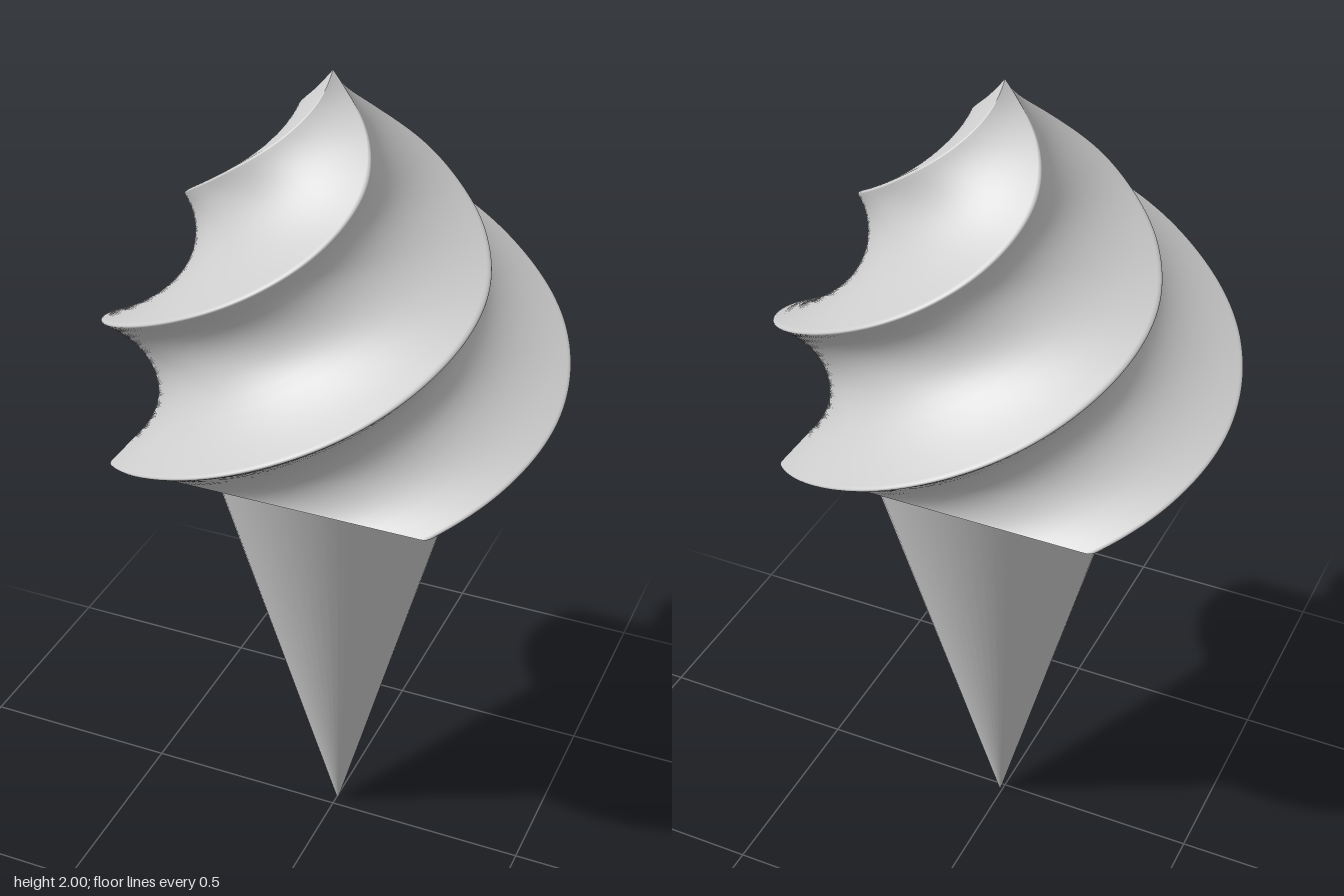
import * as THREE from 'three';

const BASE_Y = 1.17, TOP_Y = 2, TWIST = THREE.MathUtils.degToRad(225);

// Unit square outline with softly rounded corners (corner distance = 1), counterclockwise
function squareOutline(edgeSteps = 14, arcSteps = 6, round = 0.06) {
  const points = [], inner = 1 - round;
  const reach = inner * Math.SQRT2 + round;
  for (let side = 0; side < 4; side++) {
    const turn = side * Math.PI / 2, pivot = new THREE.Vector2();
    // flat side
    for (let i = 0; i < edgeSteps; i++) {
      const p = new THREE.Vector2(1, -inner + 2 * inner * i / edgeSteps);
      points.push(p.rotateAround(pivot, turn).divideScalar(reach));
    }
    // rounded corner
    for (let i = 0; i < arcSteps; i++) {
      const a = Math.PI / 2 * i / arcSteps;
      const p = new THREE.Vector2(inner + round * Math.cos(a), inner + round * Math.sin(a));
      points.push(p.rotateAround(pivot, turn).divideScalar(reach));
    }
  }
  return points;
}

// Square outline swept upward while twisting and following a corner-radius profile
function twistGeometry(outline, profile, layers) {
  const n = outline.length, positions = [], index = [];
  for (let j = 0; j <= layers; j++) {
    const { x: radius, y } = profile.getPoint(j / layers);
    const turn = TWIST * (y - BASE_Y) / (TOP_Y - BASE_Y);
    const c = Math.cos(turn) * radius, s = Math.sin(turn) * radius;
    for (const p of outline) positions.push(p.x * c - p.y * s, y, -(p.x * s + p.y * c));
  }
  for (let j = 0; j < layers; j++) {
    for (let i = 0; i < n; i++) {
      const a = j * n + i, b = j * n + (i + 1) % n;
      index.push(a, b, b + n);
      if (j < layers - 1) index.push(a, b + n, a + n);
    }
  }
  const geometry = new THREE.BufferGeometry();
  geometry.setAttribute('position', new THREE.Float32BufferAttribute(positions, 3));
  geometry.setIndex(index);
  geometry.computeVertexNormals();
  return geometry;
}

export function createModel() {
  const group = new THREE.Group();
  const material = new THREE.MeshStandardMaterial({ color: 0xcccccc });
  const add = (name, geometry) => {
    const mesh = new THREE.Mesh(geometry, material);
    mesh.name = name;
    group.add(mesh);
    return mesh;
  };

  // Wafer cone, point down
  const cone = add('wafer cone', new THREE.CylinderGeometry(0.323, 0, BASE_Y, 64));
  cone.position.set(0.005, BASE_Y / 2, -0.02);

  // Swirl of soft ice cream: corner radius against height
  const profile = new THREE.SplineCurve([
    [0.525, BASE_Y], [0.54, 1.24], [0.542, 1.32], [0.515, 1.41], [0.468, 1.5], [0.41, 1.6],
    [0.34, 1.68], [0.27, 1.75], [0.2, 1.82], [0.117, 1.89], [0.045, 1.95], [0, TOP_Y],
  ].map(([r, y]) => new THREE.Vector2(r, y)));
  const outline = squareOutline();
  add('ice cream swirl', twistGeometry(outline, profile, 120));

  // Flat underside of the swirl
  const underside = new THREE.ShapeGeometry(
    new THREE.Shape(outline.map((p) => p.clone().multiplyScalar(0.525))));
  underside.rotateX(Math.PI / 2);
  add('swirl underside', underside).position.y = BASE_Y;

  return group;
}
